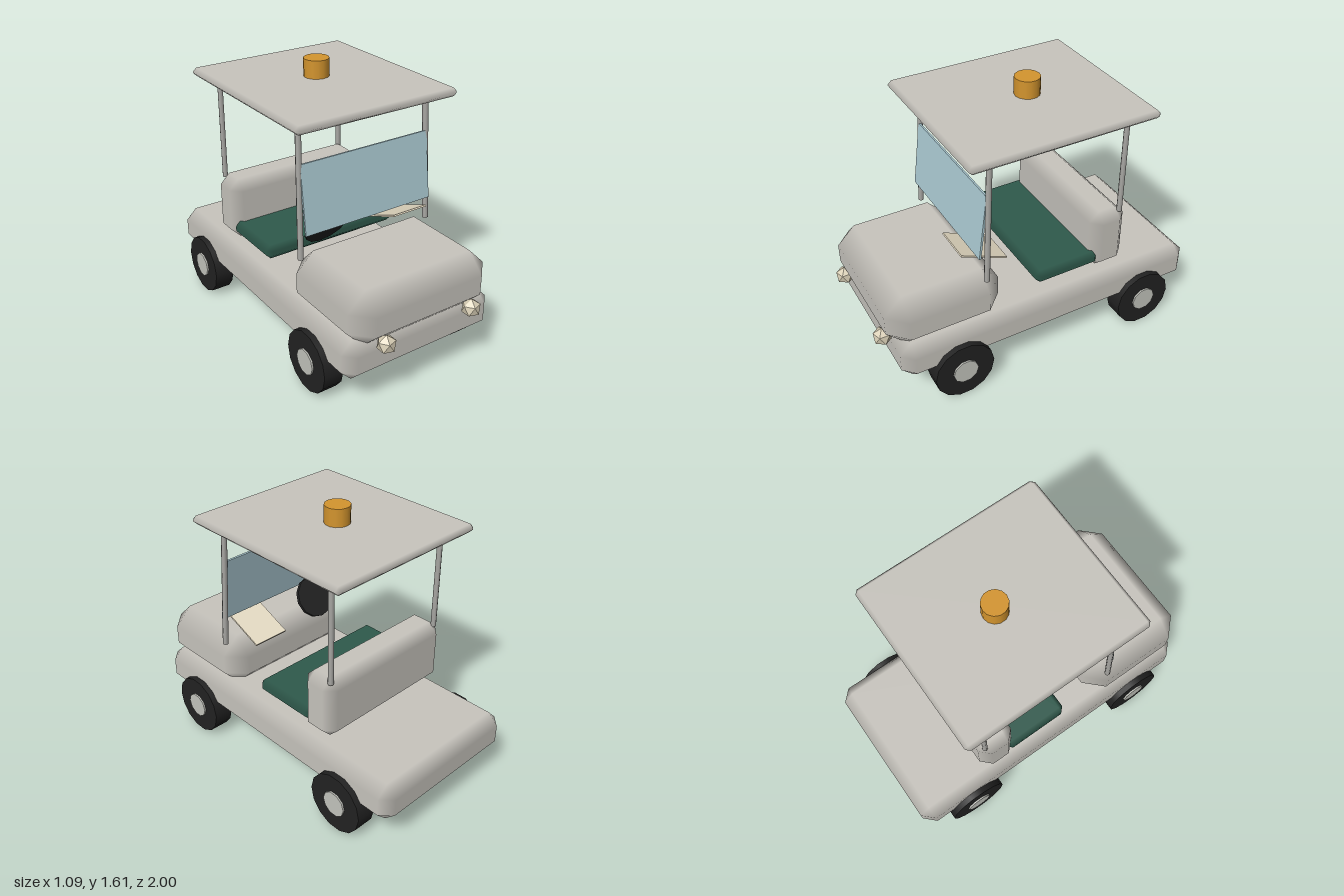
import * as THREE from 'three';

const mat = (name, color, extra = {}) => {
  const m = new THREE.MeshStandardMaterial({ color, ...extra });
  m.name = name;
  return m;
};

// Box with a single chamfer: flat main faces, normals blending across the bevels
function bevelBox(w, h, d, r) {
  const g = new THREE.BoxGeometry(w, h, d);
  const half = [w / 2, h / 2, d / 2];
  const pos = g.attributes.position, nor = g.attributes.normal;
  const index = Array.from(g.index.array);
  const at = {}; // vertex lookup by corner signs and face axis
  for (let i = 0; i < pos.count; i++) {
    const s = [pos.getX(i), pos.getY(i), pos.getZ(i)].map(Math.sign);
    const n = [nor.getX(i), nor.getY(i), nor.getZ(i)];
    const axis = n.findIndex((v) => Math.abs(v) > 0.5);
    pos.setXYZ(i, ...s.map((v, k) => v * (half[k] - r) + n[k] * r));
    at[s.join() + ':' + axis] = i;
  }
  const V = (s, axis) => at[s.join() + ':' + axis];
  const P = (i) => new THREE.Vector3().fromBufferAttribute(pos, i);
  const tri = (a, b, c) => {
    const n = P(b).sub(P(a)).cross(P(c).sub(P(a)));
    const out = new THREE.Vector3();
    for (const i of [a, b, c]) out.add(new THREE.Vector3().fromBufferAttribute(nor, i));
    index.push(...(n.dot(out) > 0 ? [a, b, c] : [a, c, b]));
  };
  for (const u of [-1, 1]) for (const v of [-1, 1]) {
    // corner triangles
    for (const q of [-1, 1]) tri(V([u, v, q], 0), V([u, v, q], 1), V([u, v, q], 2));
    // bevel strip along each axis
    for (let k = 0; k < 3; k++) {
      const a = (k + 1) % 3, b = (k + 2) % 3;
      const s0 = [], s1 = [];
      s0[k] = -1; s1[k] = 1;
      s0[a] = s1[a] = u;
      s0[b] = s1[b] = v;
      tri(V(s0, a), V(s0, b), V(s1, b));
      tri(V(s0, a), V(s1, b), V(s1, a));
    }
  }
  g.clearGroups();
  g.setIndex(index);
  return g;
}

export function createModel() {
  const root = new THREE.Group();
  root.name = 'utilityCart';

  const body = mat('bodyGrey', 0xc8c5be);
  const metal = mat('postGrey', 0xa9a8a4);
  const glass = mat('windscreenBlue', 0xaccbd4);
  const green = mat('seatGreen', 0x2f5a4c);
  const black = mat('rubberBlack', 0x222222);
  const hubGrey = mat('hubGrey', 0xc4c5be);
  const amber = mat('beaconAmber', 0xd4952e);
  const cream = mat('boardCream', 0xe6dcc4);
  const lamp = mat('lampCream', 0xd9cfb6, { flatShading: true });

  const add = (name, geometry, material, x, y, z) => {
    const m = new THREE.Mesh(geometry, material);
    m.name = name;
    m.position.set(x, y, z);
    root.add(m);
    return m;
  };
  // Bevelled block given by its extents
  const block = (name, material, hw, y0, y1, z0, z1, r) =>
    add(name, bevelBox(hw * 2, y1 - y0, z1 - z0, r), material, 0, (y0 + y1) / 2, (z0 + z1) / 2);

  // Round post between two points
  const post = (name, a, b, r) => {
    const A = new THREE.Vector3(...a), B = new THREE.Vector3(...b);
    const dir = B.clone().sub(A);
    const m = add(name, new THREE.CylinderGeometry(r, r, dir.length(), 8), metal, 0, 0, 0);
    m.position.copy(A).add(B).multiplyScalar(0.5);
    m.quaternion.setFromUnitVectors(new THREE.Vector3(0, 1, 0), dir.normalize());
  };

  // Body blocks
  block('chassis', body, 0.5, 0.2, 0.44, -1, 0.91, 0.067);
  block('hood', body, 0.46, 0.38, 0.715, 0.26, 0.95, 0.109);
  block('seatBack', body, 0.46, 0.48, 0.865, -0.54, -0.31, 0.06);
  block('seatCushion', green, 0.45, 0.52, 0.607, -0.36, 0.055, 0.03);
  block('roof', body, 0.52, 1.455, 1.505, -0.65, 0.495, 0.022);

  // Beacon on the roof
  add('beacon', new THREE.CylinderGeometry(0.074, 0.074, 0.11, 14), amber, 0, 1.555, -0.12);

  // Windscreen, leaning back
  const screen = add('windscreen', new THREE.BoxGeometry(0.84, 0.4, 0.012), glass, 0, 1.038, 0.379);
  screen.rotation.x = -0.125;

  // Steering wheel disc
  const wheel = add('steeringWheel', new THREE.CylinderGeometry(0.13, 0.13, 0.022, 12), black, -0.215, 0.788, 0.292);
  wheel.rotation.x = -1.018;

  // Sloping board beside the wheel
  const board = add('dashBoard', new THREE.BoxGeometry(0.23, 0.01, 0.305), cream, 0.227, 0.776, 0.338);
  board.rotation.x = -0.405;

  for (const side of [-1, 1]) {
    // Roof posts
    post('frontPost', [side * 0.434, 0.69, 0.373], [side * 0.416, 1.46, 0.337], 0.017);
    post('rearPost', [side * 0.416, 0.84, -0.5], [side * 0.416, 1.46, -0.5], 0.016);

    // Headlights
    const light = add('headlight', new THREE.IcosahedronGeometry(0.056), lamp, side * 0.29, 0.427, 0.95);
    light.rotation.z = Math.atan(2 / (1 + Math.sqrt(5)));

    // Tyres with hubs running right through
    for (const z of [0.57, -0.655]) {
      const tyre = add('tyre', new THREE.CylinderGeometry(0.182, 0.182, 0.12, 14), black, side * 0.475, 0.181, z);
      const hub = add('hub', new THREE.CylinderGeometry(0.077, 0.077, 0.14, 10), hubGrey, side * 0.475, 0.181, z);
      tyre.rotation.z = hub.rotation.z = Math.PI / 2;
    }
  }
  return root;
}
